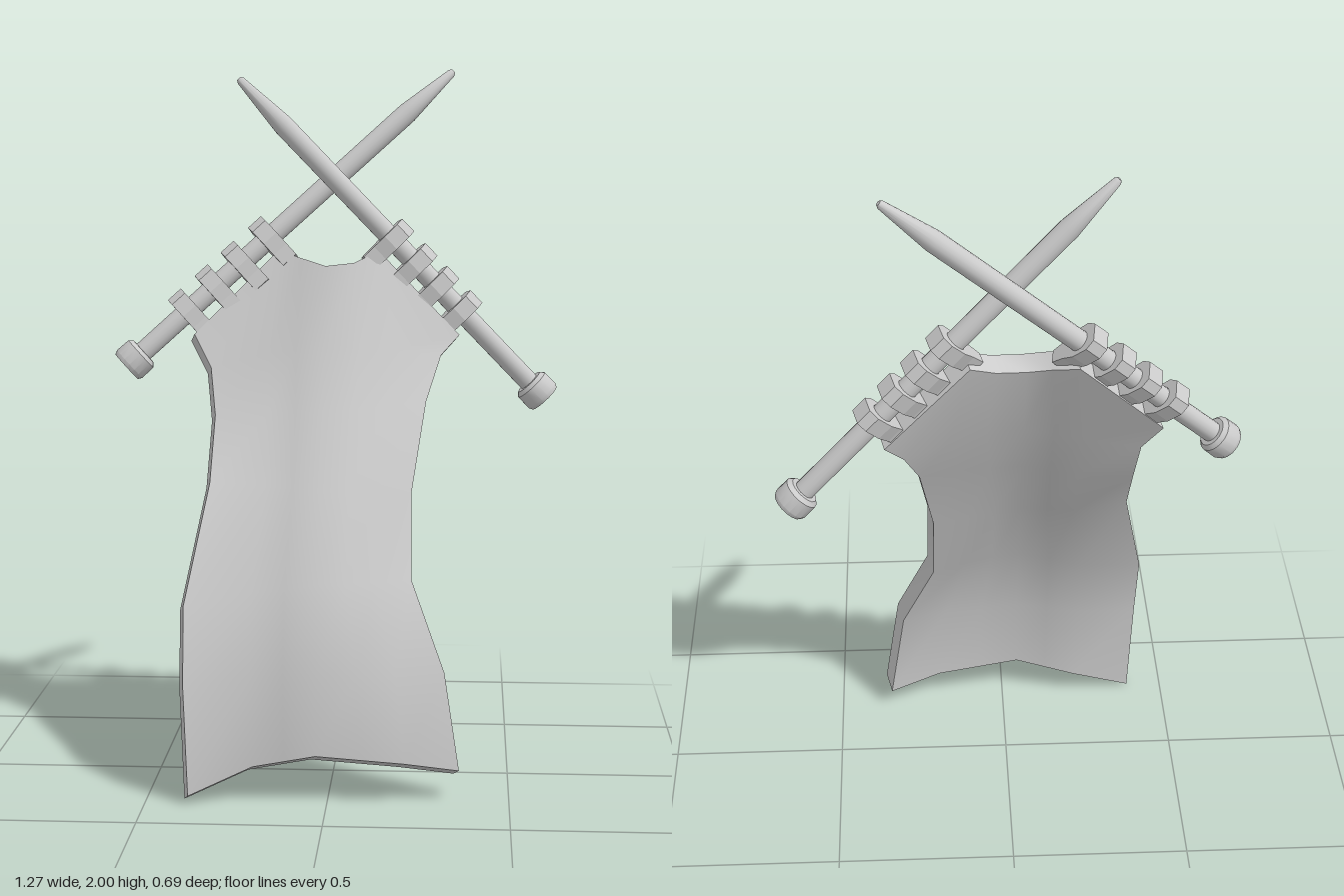
import * as THREE from 'three';
import { toCreasedNormals } from 'three/addons/utils/BufferGeometryUtils.js';

const grey = new THREE.MeshStandardMaterial({ color: 0xcccccc, side: THREE.DoubleSide });

function part(name, geometry) {
  const mesh = new THREE.Mesh(geometry, grey);
  mesh.name = name;
  return mesh;
}

// Knitted sheet: rows from hem to top, each [x, y, z] at five columns,
// in-between columns are averaged; the back is an offset copy.
function fabricGeometry() {
  const row = (xl, xr, ys, zs) => {
    const c = -0.03;
    const xs = [xl, c + (xl - c) * 0.5, c, c + (xr - c) * 0.62, xr];
    return xs.map((x, i) => [x, ys[i], zs[i]]);
  };
  const mid = (a, b) => a.map((v, i) => (v + b[i]) / 2);
  const widen = ([a, b, c, d, e]) => [a, b, mid(b, c), c, mid(c, d), d, e];
  const rows = [
    row(-0.38, 0.362, [0.025, 0.1, 0.14, 0.115, 0.085], [0.342, 0.305, 0.33, 0.305, 0.26]),
    row(-0.393, 0.32, [0.33, 0.35, 0.36, 0.36, 0.36], [0.325, 0.295, 0.32, 0.3, 0.255]),
    row(-0.397, 0.226, [0.54, 0.57, 0.6, 0.6, 0.6], [0.265, 0.225, 0.25, 0.21, 0.165]),
    row(-0.337, 0.223, [0.86, 0.85, 0.84, 0.83, 0.83], [0.125, 0.1, 0.135, 0.1, 0.08]),
    row(-0.336, 0.26, [1.03, 1.04, 1.05, 1.06, 1.07], [-0.015, -0.005, 0.03, 0, -0.045]),
    row(-0.352, 0.3, [1.16, 1.2, 1.22, 1.21, 1.19], [-0.06, -0.075, -0.05, -0.09, -0.145]),
  ].map(widen);
  // Top edge with the scooped neck between the two needles
  rows.push([[-0.405, 1.25, -0.11], [-0.17, 1.485, -0.19], [-0.1, 1.465, -0.155], [-0.03, 1.445, -0.13],
    [0.05, 1.453, -0.145], [0.12, 1.485, -0.18], [0.352, 1.245, -0.18]]);

  const back = ([x, y, z]) => [x - 0.016, y - 0.025, z - 0.055];
  const pos = [];
  const quad = (a, b, c, d) => pos.push(...a, ...b, ...c, ...a, ...c, ...d);
  const R = rows.length - 1, C = rows[0].length - 1;
  for (let r = 0; r < R; r++) {
    for (let c = 0; c < C; c++) {
      const q = [rows[r][c], rows[r][c + 1], rows[r + 1][c + 1], rows[r + 1][c]];
      quad(...q);
      quad(...q.map(back).reverse());
    }
  }
  // Rim around the sheet
  const rim = [
    ...rows[0],
    ...rows.slice(1).map((r) => r[C]),
    ...rows[R].slice(0, C).reverse(),
    ...rows.slice(1, R).map((r) => r[0]).reverse(),
  ];
  rim.forEach((p, i) => {
    const q = rim[(i + 1) % rim.length];
    quad(p, back(p), back(q), q);
  });
  const geometry = new THREE.BufferGeometry();
  geometry.setAttribute('position', new THREE.Float32BufferAttribute(pos, 3));
  return toCreasedNormals(geometry, 0.75);
}

// Needle with knob at the origin, pointing along +y
function needleGeometry(length) {
  const profile = [[0, 0], [0.048, 0], [0.054, 0.012], [0.053, 0.055], [0.042, 0.066], [0.029, 0.066],
    [0.03, length - 0.18], [0.012, length - 0.008], [0.007, length], [0, length]];
  const points = profile.map(([x, y]) => new THREE.Vector2(x, y));
  return toCreasedNormals(new THREE.LatheGeometry(points, 16), 0.6);
}

// Stitch: faceted band round the needle with a tail (+x) into the sheet
function stitchGeometry() {
  const half = [[-0.056, 0.028], [-0.03, 0.045], [0.02, 0.043], [0.06, 0.028], [0.1, 0.02]];
  const outline = [...half, ...half.map(([x, y]) => [x, -y]).reverse()];
  const shape = new THREE.Shape(outline.map(([x, y]) => new THREE.Vector2(x, y)));
  shape.holes.push(new THREE.Path().absarc(0, 0, 0.03, 0, Math.PI * 2, true));
  const geometry = new THREE.ExtrudeGeometry(shape, { depth: 0.05, bevelEnabled: false, curveSegments: 8 });
  return geometry.translate(0, 0, -0.025).rotateX(-Math.PI / 2);
}

function needleWithStitches(name, start, tip, slope, stitchXs) {
  const group = new THREE.Group();
  group.name = name;
  const axis = tip.clone().sub(start);
  const length = axis.length();
  axis.normalize();
  // Tails follow the slope of the sheet
  const side = new THREE.Vector3(0, slope, 1).projectOnPlane(axis).normalize().multiplyScalar(Math.sign(axis.x));
  const down = axis.clone().cross(side);
  group.quaternion.setFromRotationMatrix(new THREE.Matrix4().makeBasis(down, axis, side));
  group.position.copy(start);
  group.add(part('needle', needleGeometry(length)));
  const stitch = stitchGeometry();
  for (const x of stitchXs) {
    const mesh = part('stitch', stitch);
    mesh.position.y = (x - start.x) / axis.x;
    group.add(mesh);
  }
  return group;
}

export function createModel() {
  const model = new THREE.Group();
  model.name = 'knitting';
  model.add(part('fabric', fabricGeometry()));
  model.add(needleWithStitches('rightNeedle', new THREE.Vector3(-0.605, 1.152, -0.13),
    new THREE.Vector3(0.328, 1.995, -0.338), 0.55, [-0.428, -0.352, -0.278, -0.2]));
  model.add(needleWithStitches('leftNeedle', new THREE.Vector3(0.6, 1.055, -0.245),
    new THREE.Vector3(-0.28, 1.973, -0.178), 0.42, [0.158, 0.225, 0.288, 0.355]));
  return model;
}
